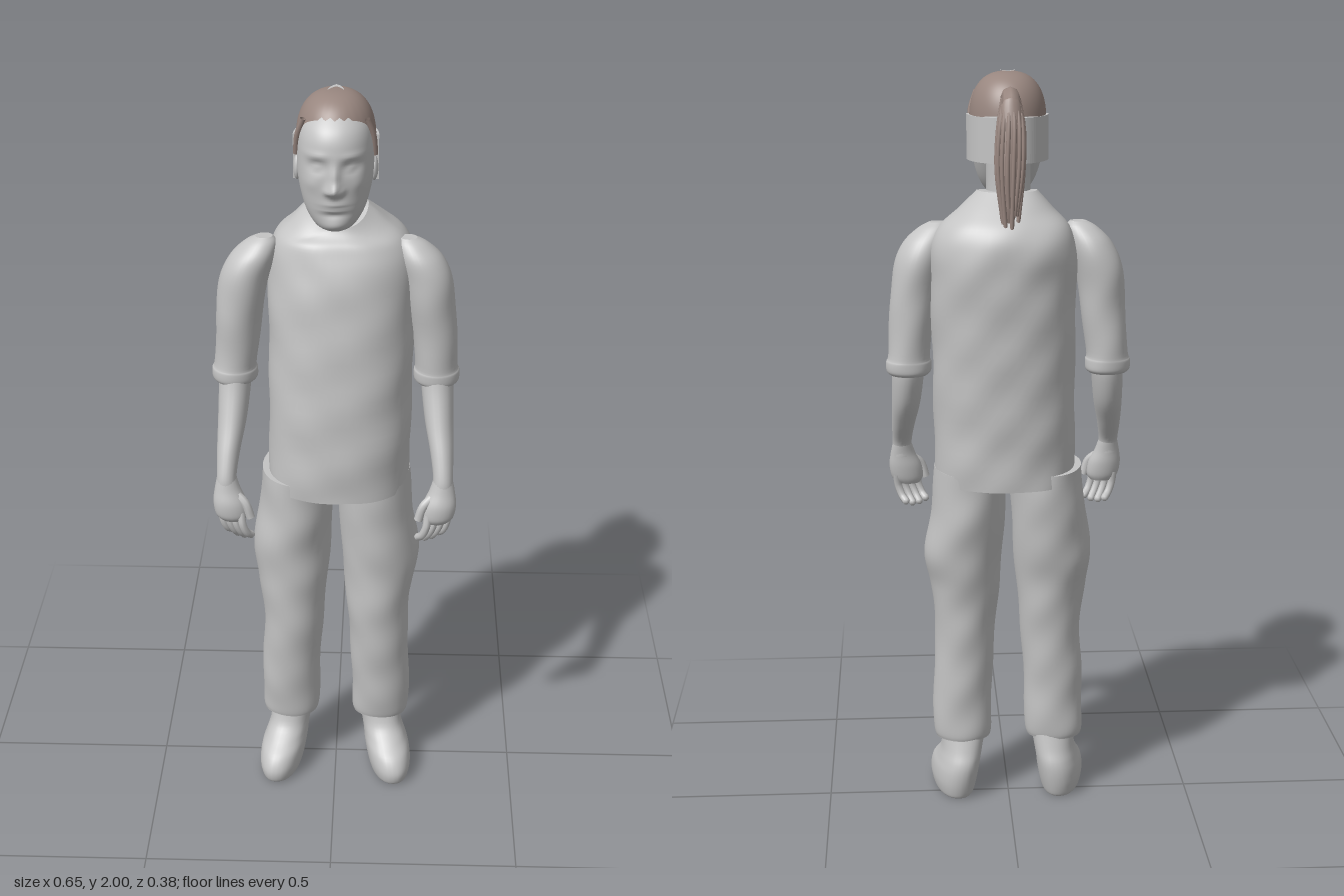
import * as THREE from 'three';

const grey = new THREE.MeshStandardMaterial({ color: 0xc4c4c4, side: THREE.DoubleSide });
grey.name = 'plain grey';
const brown = new THREE.MeshStandardMaterial({ color: 0x98867f, side: THREE.DoubleSide });
brown.name = 'hair brown';

const mesh = (name, geometry, material = grey) => {
  const m = new THREE.Mesh(geometry, material);
  m.name = name;
  return m;
};

const spline = (a, b, c, d, t) =>
  0.5 * (2 * b + (c - a) * t + (2 * a - 5 * b + 4 * c - d) * t * t + (3 * b - a - 3 * c + d) * t * t * t);

// Smooth skin over horizontal sections, listed bottom to top as [y, centre x, half width, front z, back z]
function loft(rings, { seg = 32, sub = 5, power = 2, side = 1, deform } = {}) {
  const rows = [];
  const at = (i) => rings[Math.min(rings.length - 1, Math.max(0, i))];
  for (let i = 0; i < rings.length - 1; i++)
    for (let k = 0; k < sub; k++)
      rows.push(rings[i].map((_, c) => spline(at(i - 1)[c], at(i)[c], at(i + 1)[c], at(i + 2)[c], k / sub)));
  rows.push(at(rings.length));
  const pos = [], index = [], v = new THREE.Vector3();
  const bend = (u) => Math.sign(u) * Math.abs(u) ** (2 / power);
  for (const [y, cx, rx, zf, zb] of rows)
    for (let j = 0; j < seg; j++) {
      const a = (j / seg) * Math.PI * 2;
      v.set(side * cx + rx * bend(Math.cos(a)), y, (zf + zb) / 2 + ((zf - zb) / 2) * bend(Math.sin(a)));
      if (deform) deform(v);
      pos.push(v.x, v.y, v.z);
    }
  for (let i = 0; i < rows.length - 1; i++)
    for (let j = 0; j < seg; j++) {
      const p = i * seg + j, q = i * seg + ((j + 1) % seg);
      index.push(p, p + seg, q, q, p + seg, q + seg);
    }
  // End caps with their own corners
  for (const r of [0, rows.length - 1]) {
    const base = pos.length / 3, [y, cx, , zf, zb] = rows[r];
    for (let j = 0; j < seg * 3; j++) pos.push(pos[r * seg * 3 + j]);
    v.set(side * cx, y, (zf + zb) / 2);
    if (deform) deform(v);
    pos.push(v.x, v.y, v.z);
    for (let j = 0; j < seg; j++) {
      const p = base + j, q = base + ((j + 1) % seg);
      if (r) index.push(base + seg, q, p); else index.push(base + seg, p, q);
    }
  }
  const g = new THREE.BufferGeometry();
  g.setAttribute('position', new THREE.Float32BufferAttribute(pos, 3));
  g.setIndex(index);
  g.computeVertexNormals();
  return g;
}

const tube = (points, radius, seg = 12) =>
  new THREE.TubeGeometry(new THREE.CatmullRomCurve3(points.map((p) => new THREE.Vector3(...p))), seg, radius, 8);

// Soft cloth folds
const folds = (amount) => (v) => {
  v.z += amount * Math.sin(v.y * 38 + v.x * 14) * Math.sin(v.x * 31 + 1);
  v.x += amount * 0.6 * Math.sin(v.y * 29 + v.z * 17);
};

function makeTorso() {
  const crumple = folds(0.003);
  return mesh('shirt', loft([
    [0.925, 0.008, 0.188, 0.17, -0.155], [1.05, 0.01, 0.188, 0.172, -0.16], [1.25, 0.012, 0.188, 0.162, -0.172],
    [1.45, 0.014, 0.19, 0.143, -0.185], [1.55, 0.014, 0.188, 0.125, -0.19], [1.61, 0.01, 0.168, 0.105, -0.172],
    [1.655, 0.008, 0.122, 0.088, -0.13], [1.7, 0.005, 0.078, 0.065, -0.075],
  ], {
    seg: 56, sub: 6, power: 2.25,
    deform: (v) => {
      // Scooped front of the collar
      v.y -= 0.045 * THREE.MathUtils.smoothstep(v.y, 1.6, 1.7) * Math.min(1, Math.max(0, v.z) / 0.065);
      crumple(v);
    },
  }));
}

function makeArm(side) {
  const g = new THREE.Group();
  g.name = side > 0 ? 'leftArm' : 'rightArm';
  g.add(mesh('sleeve', loft([
    [1.212, 0.264, 0.05, 0.058, -0.045], [1.222, 0.264, 0.059, 0.066, -0.053], [1.245, 0.264, 0.06, 0.068, -0.055],
    [1.27, 0.262, 0.055, 0.067, -0.054], [1.4, 0.25, 0.06, 0.077, -0.057], [1.5, 0.236, 0.063, 0.083, -0.062],
    [1.56, 0.215, 0.058, 0.075, -0.052], [1.598, 0.193, 0.042, 0.05, -0.03], [1.615, 0.183, 0.022, 0.03, -0.01],
  ], { side, deform: folds(0.002) })));
  g.add(mesh('forearm', loft([
    [0.95, 0.283, 0.03, 0.168, 0.112], [0.99, 0.284, 0.026, 0.165, 0.103], [1.05, 0.28, 0.031, 0.142, 0.05],
    [1.12, 0.272, 0.038, 0.108, -0.005], [1.2, 0.266, 0.042, 0.076, -0.035], [1.26, 0.262, 0.042, 0.06, -0.04],
  ], { side, seg: 20 })));
  g.add(mesh('palm', loft([
    [0.868, 0.268, 0.03, 0.172, 0.13], [0.885, 0.271, 0.043, 0.181, 0.122], [0.92, 0.276, 0.044, 0.182, 0.115],
    [0.955, 0.282, 0.034, 0.172, 0.112], [0.985, 0.284, 0.026, 0.165, 0.106],
  ], { side, seg: 20 })));
  for (let k = 0; k < 4; k++) {
    const x = 0.246 + 0.018 * k, z = 0.165 - 0.01 * k, low = 0.812 + 0.006 * Math.abs(k - 1.5);
    g.add(mesh('finger', tube([
      [side * x, 0.895, z], [side * (x - 0.004), 0.86, z + 0.006],
      [side * (x - 0.014), 0.833, z], [side * (x - 0.024), low, z - 0.012],
    ], 0.0105)));
    const tip = mesh('fingertip', new THREE.SphereGeometry(0.0105, 8, 6));
    tip.position.set(side * (x - 0.024), low, z - 0.012);
    g.add(tip);
  }
  g.add(mesh('thumb', tube([[side * 0.262, 0.945, 0.15], [side * 0.234, 0.92, 0.163], [side * 0.221, 0.88, 0.165]], 0.012)));
  return g;
}

function makeLeg(side) {
  const g = new THREE.Group();
  g.name = side > 0 ? 'leftLeg' : 'rightLeg';
  g.add(mesh('trouserLeg', loft([
    [0.17, 0.127, 0.075, 0.074, -0.048], [0.2, 0.127, 0.08, 0.08, -0.053], [0.32, 0.126, 0.081, 0.095, -0.057],
    [0.5, 0.117, 0.083, 0.115, -0.07], [0.62, 0.118, 0.095, 0.12, -0.085], [0.72, 0.121, 0.106, 0.126, -0.105],
    [0.84, 0.108, 0.1, 0.136, -0.124], [0.96, 0.1, 0.098, 0.14, -0.13],
  ], { side, sub: 8, deform: folds(0.0025) })));
  g.add(mesh('shoe', loft([
    [0, 0.147, 0.046, 0.15, -0.055], [0.008, 0.147, 0.054, 0.166, -0.063], [0.04, 0.146, 0.061, 0.171, -0.072],
    [0.075, 0.142, 0.062, 0.153, -0.076], [0.105, 0.136, 0.058, 0.115, -0.073], [0.14, 0.129, 0.056, 0.078, -0.06],
    [0.2, 0.122, 0.06, 0.06, -0.042],
  ], { side, power: 2.2, deform: (v) => { v.x += side * 0.12 * v.z; } })));
  return g;
}

function makeHead() {
  const g = new THREE.Group();
  g.name = 'head';
  // Facial relief as [x, y, spread x, spread y, depth]
  const relief = [
    [0, 1.79, 0.016, 0.017, 0.026], [0, 1.82, 0.012, 0.03, 0.014], [0, 1.744, 0.03, 0.014, 0.007],
    [0, 1.742, 0.03, 0.004, -0.006], [0, 1.692, 0.03, 0.016, 0.007], [0, 1.722, 0.03, 0.008, -0.005],
  ];
  for (const s of [-1, 1])
    relief.push([s * 0.042, 1.845, 0.022, 0.015, -0.013], [s * 0.042, 1.843, 0.013, 0.008, 0.008],
      [s * 0.045, 1.872, 0.028, 0.009, 0.004], [s * 0.017, 1.785, 0.008, 0.008, 0.008], [s * 0.06, 1.8, 0.02, 0.02, 0.004]);
  g.add(mesh('face', loft([
    [1.672, 0, 0.025, 0.125, 0.07], [1.685, 0, 0.05, 0.14, 0.03], [1.72, 0, 0.073, 0.149, -0.005],
    [1.77, 0, 0.088, 0.156, -0.04], [1.82, 0, 0.095, 0.16, -0.07], [1.88, 0, 0.094, 0.161, -0.078],
    [1.92, 0, 0.087, 0.15, -0.074], [1.95, 0, 0.073, 0.124, -0.065], [1.975, 0, 0.052, 0.088, -0.045],
    [1.987, 0, 0.02, 0.05, -0.01],
  ], {
    seg: 96, sub: 9, power: 2.15,
    deform: (v) => {
      if (v.z < 0.06) return;
      const { x, y } = v;
      for (const [cx, cy, sx, sy, d] of relief) v.z += d * Math.exp(-(((x - cx) / sx) ** 2) - ((y - cy) / sy) ** 2);
    },
  })));
  g.add(mesh('neck', loft([
    [1.6, 0, 0.07, 0.05, -0.075], [1.66, 0, 0.06, 0.05, -0.065], [1.72, 0, 0.057, 0.05, -0.062], [1.82, 0, 0.06, 0.05, -0.065],
  ])));
  for (const s of [-1, 1]) {
    const ear = mesh('ear', new THREE.SphereGeometry(1, 14, 10));
    ear.scale.set(0.01, 0.032, 0.02);
    ear.position.set(s * 0.095, 1.81, 0.045);
    g.add(ear);
  }
  // Raised band around the back of the head
  const arc = new THREE.Shape();
  arc.absellipse(0, 0, 0.106, 0.132, 0, Math.PI, false);
  arc.absellipse(0, 0, 0.088, 0.1, Math.PI, 0, true);
  const band = mesh('headBand', new THREE.ExtrudeGeometry(arc, { depth: 0.115, bevelEnabled: false, curveSegments: 28 }));
  band.rotation.x = -Math.PI / 2;
  band.position.set(0, 1.775, 0.033);
  g.add(band);
  return g;
}

function makeHair() {
  const g = new THREE.Group();
  g.name = 'hair';
  // Cap of hair whose lower edge follows the hairline
  const cap = new THREE.PlaneGeometry(1, 1, 96, 20), p = cap.attributes.position;
  for (let i = 0; i < p.count; i++) {
    const a = (p.getX(i) + 0.5) * Math.PI * 2, t = p.getY(i) + 0.5, f = Math.sin(a);
    const front = THREE.MathUtils.smoothstep(f, 0.45, 0.95);
    const edge = 1.88 + 0.074 * front + 0.015 * Math.max(0, -f) + 0.004 * Math.sin(a * 23) * Math.max(0, f);
    const start = Math.asin((edge - 1.87) / 0.128);
    const h = Math.sin(THREE.MathUtils.lerp(start, Math.PI / 2, t));
    const r = Math.max(0, 1 - h ** 2.5) ** 0.4;
    p.setXYZ(i, 0.099 * r * Math.cos(a), 1.87 + 0.128 * h, 0.02 + 0.12 * r * f);
  }
  // Columns run the other way round, so turn the faces outward
  const id = cap.index.array;
  for (let i = 0; i < id.length; i += 3) [id[i], id[i + 1]] = [id[i + 1], id[i]];
  cap.computeVertexNormals();
  g.add(mesh('hairCap', cap, brown));
  // Loose locks beside the forehead
  for (const s of [-1, 1])
    g.add(mesh('sideLock', tube([[s * 0.078, 1.945, 0.085], [s * 0.093, 1.9, 0.075], [s * 0.097, 1.85, 0.062]], 0.007), brown));
  // Ponytail with separate strands
  g.add(mesh('ponytailRoot', tube([[0, 1.93, -0.06], [0, 1.944, -0.1], [0, 1.925, -0.128]], 0.024), brown));
  g.add(mesh('ponytail', loft([
    [1.625, 0.004, 0.006, -0.14, -0.152], [1.68, 0.004, 0.022, -0.128, -0.164], [1.78, 0.003, 0.033, -0.11, -0.167],
    [1.87, 0, 0.032, -0.095, -0.156], [1.93, 0, 0.026, -0.088, -0.136], [1.955, 0, 0.01, -0.095, -0.118],
  ], { seg: 24 }), brown));
  for (let k = 0; k < 14; k++) {
    const a = (k / 14) * Math.PI * 2, c = Math.cos(a), s = Math.sin(a), end = 1.64 + 0.035 * Math.sin(k * 2.4);
    g.add(mesh('hairStrand', tube([
      [c * 0.02, 1.94, -0.108 + s * 0.014], [c * 0.032, 1.87, -0.126 + s * 0.03],
      [0.003 + c * 0.034, 1.77, -0.139 + s * 0.029], [0.004 + c * 0.018, end, -0.147 + s * 0.015],
    ], 0.0055), brown));
  }
  // Bare crescent on the crown
  const bare = new THREE.Shape();
  bare.moveTo(-0.02, -0.032);
  bare.quadraticCurveTo(-0.018, 0, 0, 0.016);
  bare.quadraticCurveTo(0.018, 0, 0.02, -0.032);
  bare.quadraticCurveTo(0.008, -0.004, 0, -0.004);
  bare.quadraticCurveTo(-0.008, -0.004, -0.02, -0.032);
  const patch = mesh('crownPatch', new THREE.ShapeGeometry(bare));
  patch.rotation.x = -Math.PI / 2;
  patch.position.y = 2;
  g.add(patch);
  return g;
}

export function createModel() {
  const model = new THREE.Group();
  model.name = 'standingFigure';
  model.add(makeTorso(), makeHead(), makeHair());
  for (const side of [1, -1]) model.add(makeArm(side), makeLeg(side));
  return model;
}
